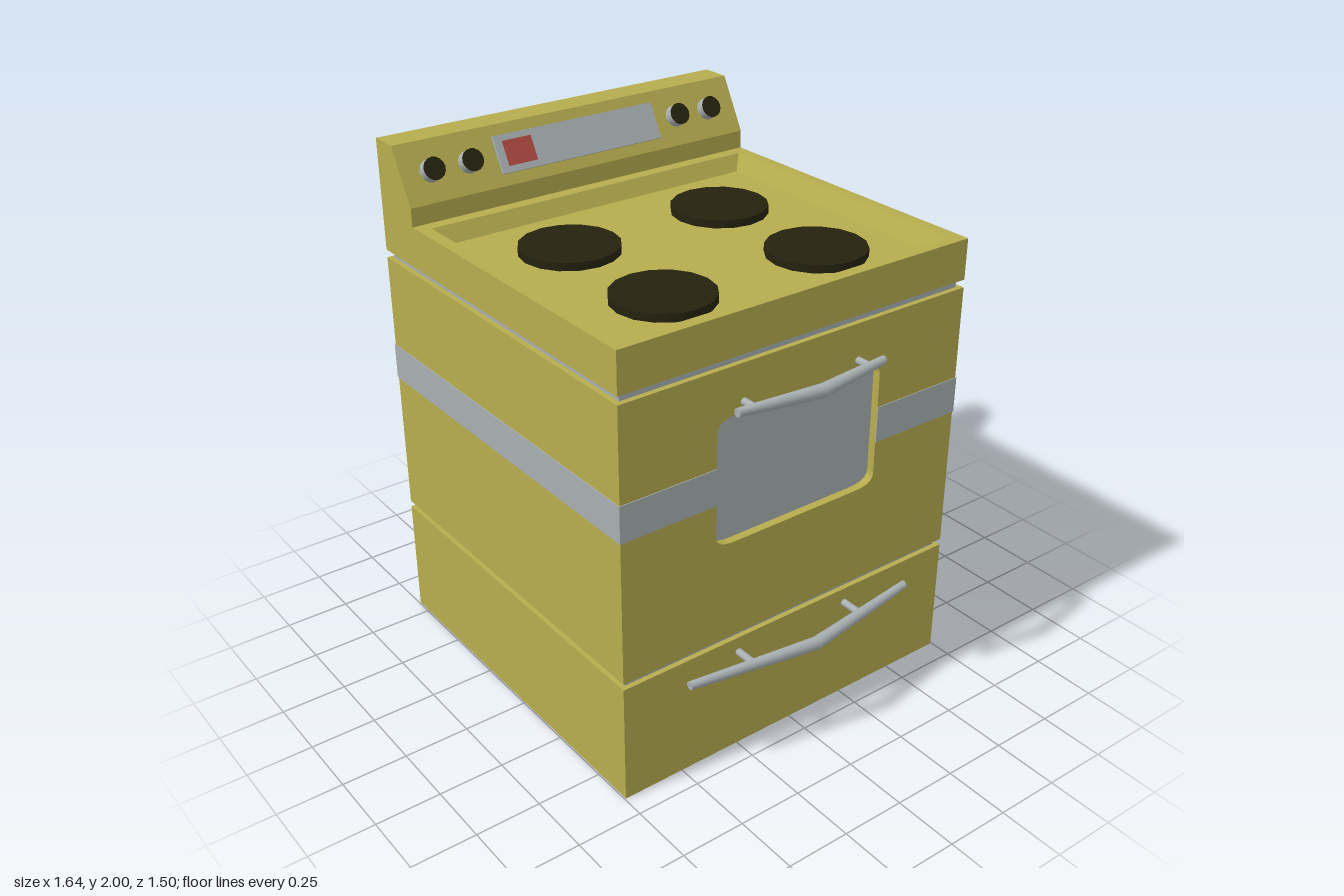
import * as THREE from 'three';

const mat = (name, color) => Object.assign(new THREE.MeshStandardMaterial({ color }), { name });

export function createModel() {
  const stove = new THREE.Group();
  stove.name = 'stove';
  const enamel = mat('olive enamel', 0xb6ac4e);
  const steel = mat('steel grey', 0xa8b0b1);
  const black = mat('burner black', 0x25220f);
  const red = mat('display red', 0xb04a42);

  const X0 = -0.82, X1 = 0.66, Z = 0.745;

  const add = (name, geo, material, parent = stove) => {
    const mesh = new THREE.Mesh(geo, material);
    mesh.name = name;
    parent.add(mesh);
    return mesh;
  };
  // box given by its minimum and maximum corners
  const block = (name, x0, x1, y0, y1, z0, z1, material) =>
    add(name, new THREE.BoxGeometry(x1 - x0, y1 - y0, z1 - z0)
      .translate((x0 + x1) / 2, (y0 + y1) / 2, (z0 + z1) / 2), material);

  // body: drawer, seams and oven core
  const wall = 0.035;
  block('drawer', X0, X1, 0, 0.47, -Z, Z, enamel);
  block('lowerSeam', X0 + 0.02, X1 - 0.02, 0.47, 0.495, -Z + 0.02, Z - 0.02, steel);
  block('ovenBody', X0, X1 - wall, 0.495, 1.545, -Z, Z, enamel);
  block('upperSeam', X0 + 0.02, X1 - 0.02, 1.545, 1.575, -Z + 0.02, Z - 0.02, steel);

  // oven door with a rounded opening
  const roundedRect = (s, w, y0, y1, rx, ry) => {
    s.moveTo(-w + rx, y0);
    s.lineTo(w - rx, y0);
    s.quadraticCurveTo(w, y0, w, y0 + ry);
    s.lineTo(w, y1 - ry);
    s.quadraticCurveTo(w, y1, w - rx, y1);
    s.lineTo(-w + rx, y1);
    s.quadraticCurveTo(-w, y1, -w, y1 - ry);
    s.lineTo(-w, y0 + ry);
    s.quadraticCurveTo(-w, y0, -w + rx, y0);
    return s;
  };
  const door = new THREE.Shape([[-Z, 0.495], [Z, 0.495], [Z, 1.545], [-Z, 1.545]]
    .map(p => new THREE.Vector2(...p)));
  door.holes.push(roundedRect(new THREE.Path(), 0.358, 0.88, 1.367, 0.085, 0.045));
  add('ovenDoor', new THREE.ExtrudeGeometry(door, { depth: wall, bevelEnabled: false, curveSegments: 6 })
    .rotateY(Math.PI / 2).translate(X1 - wall, 0, 0), enamel);
  block('ovenWindow', X1 - wall, X1 - wall + 0.004, 0.87, 1.377, -0.358, 0.358, steel);

  // stripe round the oven, broken by the window
  const t = 0.003, s0 = 1.05, s1 = 1.19;
  block('backStripe', X0 - t, X0, s0, s1, -Z - t, Z + t, steel);
  for (const s of [-1, 1]) {
    const side = s > 0 ? [Z, Z + t] : [-Z - t, -Z];
    const front = s > 0 ? [0.358, Z + t] : [-Z - t, -0.358];
    block('sideStripe', X0, X1, s0, s1, ...side, steel);
    block('frontStripe', X1, X1 + t, s0, s1, ...front, steel);
  }

  // cooktop tray, lofted through rectangular rings
  const rings = [
    [X0 + 0.03, X1 - 0.03, Z - 0.03, 1.575],
    [X0, X1, Z, 1.575],
    [X0, X1, Z, 1.73],
    [-0.545, 0.613, 0.695, 1.73],
    [-0.51, 0.583, 0.658, 1.67],
  ].map(([a, b, z, y]) => [[a, y, z], [b, y, z], [b, y, -z], [a, y, -z]]);
  const tri = [];
  const quad = (a, b, c, d) => tri.push(...a, ...b, ...c, ...a, ...c, ...d);
  for (let r = 0; r < rings.length - 1; r++) {
    for (let i = 0; i < 4; i++) {
      const j = (i + 1) % 4;
      quad(rings[r][i], rings[r][j], rings[r + 1][j], rings[r + 1][i]);
    }
  }
  quad(...rings[rings.length - 1]);
  const tray = new THREE.BufferGeometry();
  tray.setAttribute('position', new THREE.Float32BufferAttribute(tri, 3));
  tray.computeVertexNormals();
  add('cooktop', tray, enamel);

  // burners
  for (const [x, z] of [[-0.2, -0.325], [-0.2, 0.343], [0.335, -0.333], [0.335, 0.332]]) {
    add('burner', new THREE.CylinderGeometry(0.184, 0.184, 0.03, 16).translate(x, 1.685, z), black);
  }

  // back panel with a sloping face
  const profile = new THREE.Shape([[X0, 1.73], [-0.595, 1.73], [-0.595, 1.8], [-0.705, 2], [X0, 2]]
    .map(p => new THREE.Vector2(...p)));
  add('backPanel', new THREE.ExtrudeGeometry(profile, { depth: 2 * Z, bevelEnabled: false })
    .translate(0, 0, -Z), enamel);

  // controls: local x points out of the slope, local y runs up it
  const controls = new THREE.Group();
  controls.name = 'controls';
  controls.position.set(-0.65, 1.9, 0);
  controls.rotation.z = Math.atan2(0.11, 0.2);
  stove.add(controls);
  add('controlPlate', new THREE.BoxGeometry(0.016, 0.142, 0.71).translate(0.004, 0, 0), steel, controls);
  add('display', new THREE.BoxGeometry(0.004, 0.094, 0.122).translate(0.013, 0, 0.263), red, controls);
  for (const z of [-0.61, -0.455, 0.472, 0.628]) {
    add('knob', new THREE.CylinderGeometry(0.042, 0.042, 0.036, 16)
      .rotateZ(-Math.PI / 2).translate(0.018, 0, z), steel, controls);
    add('knobFace', new THREE.CylinderGeometry(0.042, 0.042, 0.004, 16)
      .rotateZ(-Math.PI / 2).translate(0.038, 0, z), black, controls);
  }

  // bent handles, thickest in the middle
  const handle = (name, y, half, midX) => {
    const group = new THREE.Group();
    group.name = name;
    group.position.y = y;
    stove.add(group);
    const endX = 0.713;
    const bar = new THREE.CylinderGeometry(1, 1, 2 * half, 12, 2).rotateX(Math.PI / 2);
    const p = bar.attributes.position;
    const reach = z => THREE.MathUtils.lerp(endX, midX, 1 - Math.abs(z) / half);
    for (let i = 0; i < p.count; i++) {
      const z = p.getZ(i);
      const r = THREE.MathUtils.lerp(0.016, 0.025, 1 - Math.abs(z) / half);
      p.setXYZ(i, reach(z) + p.getX(i) * r, p.getY(i) * r, z);
    }
    bar.computeVertexNormals();
    add('handleBar', bar, steel, group);
    for (const z of [-0.25, 0.25]) {
      const len = reach(z) - X1;
      add('handlePost', new THREE.CylinderGeometry(0.014, 0.014, len, 10)
        .rotateZ(Math.PI / 2).translate(X1 + len / 2, -0.002, z), steel, group);
    }
  };
  handle('ovenHandle', 1.407, 0.32, 0.76);
  handle('drawerHandle', 0.411, 0.507, 0.791);

  return stove;
}
